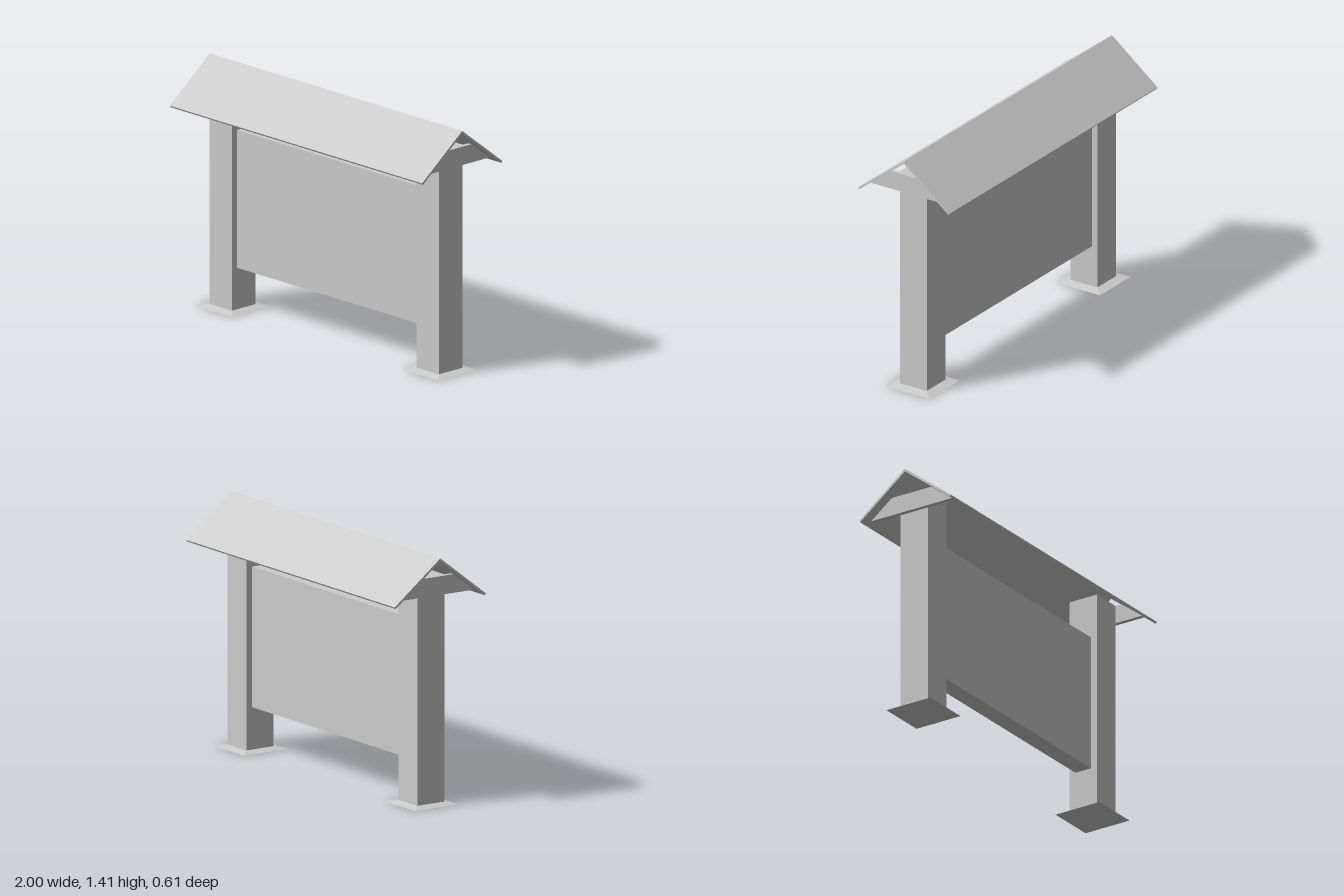
import * as THREE from 'three';

export function createModel() {
  const group = new THREE.Group();
  const material = new THREE.MeshStandardMaterial({ color: 0xcccccc, flatShading: true });

  const add = (name, geometry, x = 0, y = 0, z = 0) => {
    const mesh = new THREE.Mesh(geometry, material);
    mesh.name = name;
    mesh.position.set(x, y, z);
    group.add(mesh);
  };

  // Extrudes a [z, y] outline along x, centred on x = 0
  const extrudeAlongX = (points, length) => {
    const shape = new THREE.Shape(points.map(([z, y]) => new THREE.Vector2(-z, y)));
    return new THREE.ExtrudeGeometry(shape, { depth: length, bevelEnabled: false })
      .translate(0, 0, -length / 2)
      .rotateY(Math.PI / 2);
  };

  // Thin gabled roof
  add('roof', extrudeAlongX([
    [0.304, 1.172], [0, 1.408], [-0.304, 1.172],
    [-0.297, 1.162], [0, 1.392], [0.297, 1.162],
  ], 2));

  // Display panel between the posts
  add('panel', new THREE.BoxGeometry(1.46, 0.79, 0.104), 0, 0.645, 0);

  for (const [side, label] of [[1, 'left'], [-1, 'right']]) {
    // Square post, reaching up under the roof
    add(`${label}Post`, new THREE.BoxGeometry(0.18, 1.28, 0.18), side * 0.82, 0.65, 0);

    // Sloped square foot plate
    const foot = new THREE.CylinderGeometry(0.093 * Math.SQRT2, 0.146 * Math.SQRT2, 0.012, 4)
      .rotateY(Math.PI / 4);
    add(`${label}Foot`, foot, side * 0.82, 0.006, 0);

    // Gable plate on the outer face of the post, carrying the roof
    const plate = extrudeAlongX([
      [0.27, 1.185], [0.135, 1.29], [-0.135, 1.29], [-0.27, 1.185],
    ], 0.026);
    add(`${label}GablePlate`, plate, side * 0.923, 0, 0);
  }

  return group;
}
